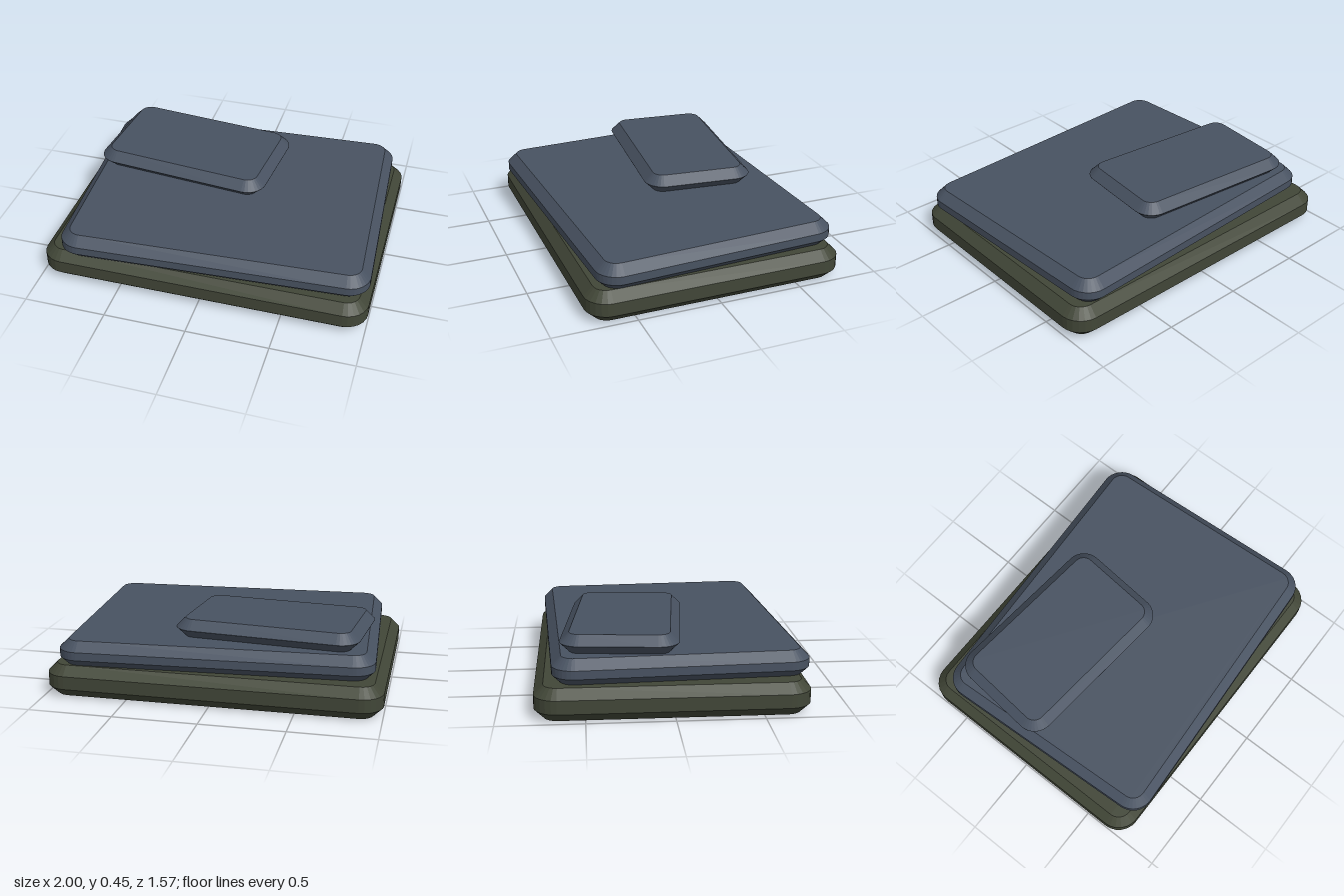
import * as THREE from 'three';

const BEVEL = 0.055;

// Rounded rectangle slab with 45 degree chamfers; w and d are the widest outline.
function slabGeometry(w, d, h, radius, segments) {
  const a = w / 2 - BEVEL, b = d / 2 - BEVEL, r = radius - BEVEL;
  const s = new THREE.Shape();
  s.moveTo(-a + r, -b);
  s.lineTo(a - r, -b);
  s.absarc(a - r, -b + r, r, -Math.PI / 2, 0);
  s.lineTo(a, b - r);
  s.absarc(a - r, b - r, r, 0, Math.PI / 2);
  s.lineTo(-a + r, b);
  s.absarc(-a + r, b - r, r, Math.PI / 2, Math.PI);
  s.lineTo(-a, -b + r);
  s.absarc(-a + r, -b + r, r, Math.PI, Math.PI * 1.5);
  const g = new THREE.ExtrudeGeometry(s, {
    depth: Math.max(h - 2 * BEVEL, 0.001),
    bevelEnabled: true,
    bevelSegments: 1,
    bevelSize: BEVEL,
    bevelThickness: BEVEL,
    curveSegments: segments,
  });
  g.translate(0, 0, BEVEL);
  g.rotateX(-Math.PI / 2);
  return g;
}

export function createModel() {
  const group = new THREE.Group();
  const olive = new THREE.MeshStandardMaterial({ color: 0x414637 });
  olive.name = 'dark olive';
  const slate = new THREE.MeshStandardMaterial({ color: 0x485261 });
  slate.name = 'slate blue';

  const addSlab = (name, material, [w, d, h], radius, segments, [x, y, z], turn) => {
    const mesh = new THREE.Mesh(slabGeometry(w, d, h, radius, segments), material);
    mesh.name = name;
    mesh.position.set(x, y, z);
    mesh.rotation.y = turn;
    group.add(mesh);
  };

  // Stack of three slabs, each turned slightly
  addSlab('bottomSlab', olive, [2, 1.56, 0.19], 0.135, 3, [0, 0, -0.008], 0);
  addSlab('middleSlab', slate, [1.868, 1.472, 0.16], 0.13, 4, [0.025, 0.178, 0.008], 0.051);
  addSlab('topSlab', slate, [1.112, 0.68, 0.111], 0.12, 4, [-0.312, 0.337, -0.258], -0.098);

  return group;
}
